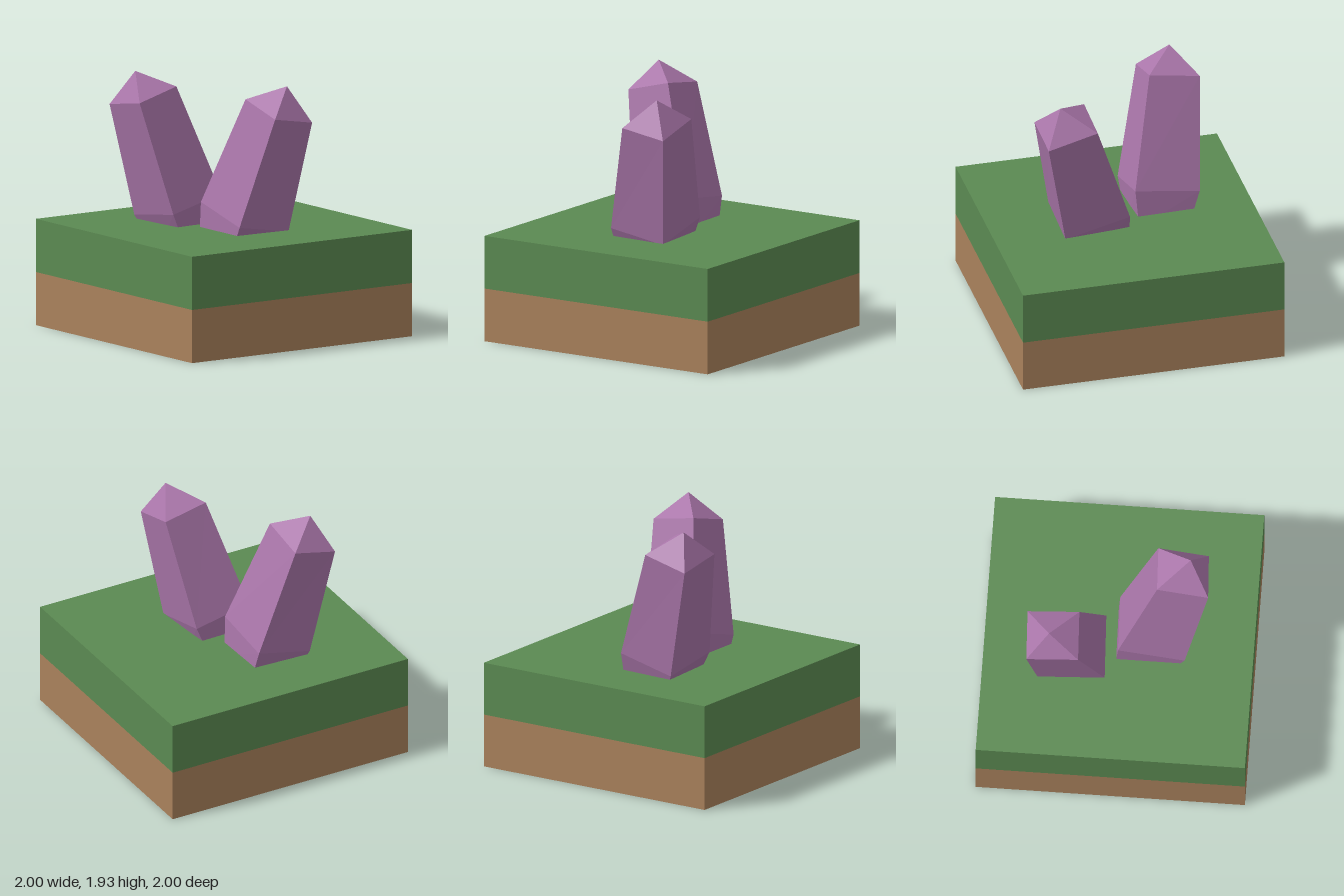
import * as THREE from 'three';

const material = (color) => new THREE.MeshStandardMaterial({ color, flatShading: true });

// Four-sided crystal: rings run bottom to top, corners in order
// front-left, front-right, back-right, back-left; closed by a pointed tip.
function crystalGeometry(rings, tip) {
  const points = [];
  const add = (...corners) => corners.forEach((p) => points.push(...p));
  for (let r = 0; r < rings.length - 1; r++) {
    for (let i = 0; i < 4; i++) {
      const j = (i + 1) % 4;
      const [a, b, c, d] = [rings[r][i], rings[r][j], rings[r + 1][j], rings[r + 1][i]];
      add(a, b, c, a, c, d);
    }
  }
  const top = rings[rings.length - 1];
  for (let i = 0; i < 4; i++) add(top[i], top[(i + 1) % 4], tip);
  const [p, q, s, t] = rings[0];
  add(p, s, q, p, t, s);
  const geometry = new THREE.BufferGeometry();
  geometry.setAttribute('position', new THREE.Float32BufferAttribute(points, 3));
  geometry.computeVertexNormals();
  return geometry;
}

// The buried foot follows the lean of the crystal and narrows a little.
function footRing(ring, leanX, leanZ, depth = 0.3, taper = 0.06) {
  const signX = [1, -1, -1, 1];
  const signZ = [-1, -1, 1, 1];
  return ring.map(([x, y, z], i) => [
    x + leanX + signX[i] * taper, y - depth, z + leanZ + signZ[i] * taper,
  ]);
}

export function createModel() {
  const model = new THREE.Group();
  model.name = 'crystalTile';

  // Ground block: soil below, grass above
  const layers = [['soil', 0xaa825c, 0.2], ['grass', 0x5b8a52, 0.6]];
  for (const [name, color, y] of layers) {
    const layer = new THREE.Mesh(new THREE.BoxGeometry(2, 0.4, 2), material(color));
    layer.name = name;
    layer.position.y = y;
    model.add(layer);
  }

  // Two leaning crystals
  const crystals = [
    {
      name: 'frontCrystal',
      lean: [-0.06, -0.08],
      lower: [[-0.21, 0.865, 0.495], [0.245, 0.79, 0.48], [0.24, 0.91, -0.015], [-0.21, 0.99, 0]],
      upper: [[0, 1.68, 0.655], [0.35, 1.62, 0.635], [0.35, 1.72, 0.26], [0, 1.78, 0.275]],
      tip: [0.21, 1.89, 0.51],
    },
    {
      name: 'backCrystal',
      lean: [0.08, 0.035],
      lower: [[-0.4, 0.9, -0.085], [0.05, 1.01, -0.105], [0.04, 0.94, -0.6], [-0.4, 0.83, -0.585]],
      upper: [[-0.575, 1.73, -0.27], [-0.23, 1.82, -0.285], [-0.23, 1.76, -0.67], [-0.575, 1.67, -0.655]],
      tip: [-0.455, 1.93, -0.495],
    },
  ];
  const crystalMaterial = material(0xaa76aa);
  for (const { name, lean, lower, upper, tip } of crystals) {
    const rings = [footRing(lower, ...lean), lower, upper];
    const crystal = new THREE.Mesh(crystalGeometry(rings, tip), crystalMaterial);
    crystal.name = name;
    model.add(crystal);
  }
  return model;
}
